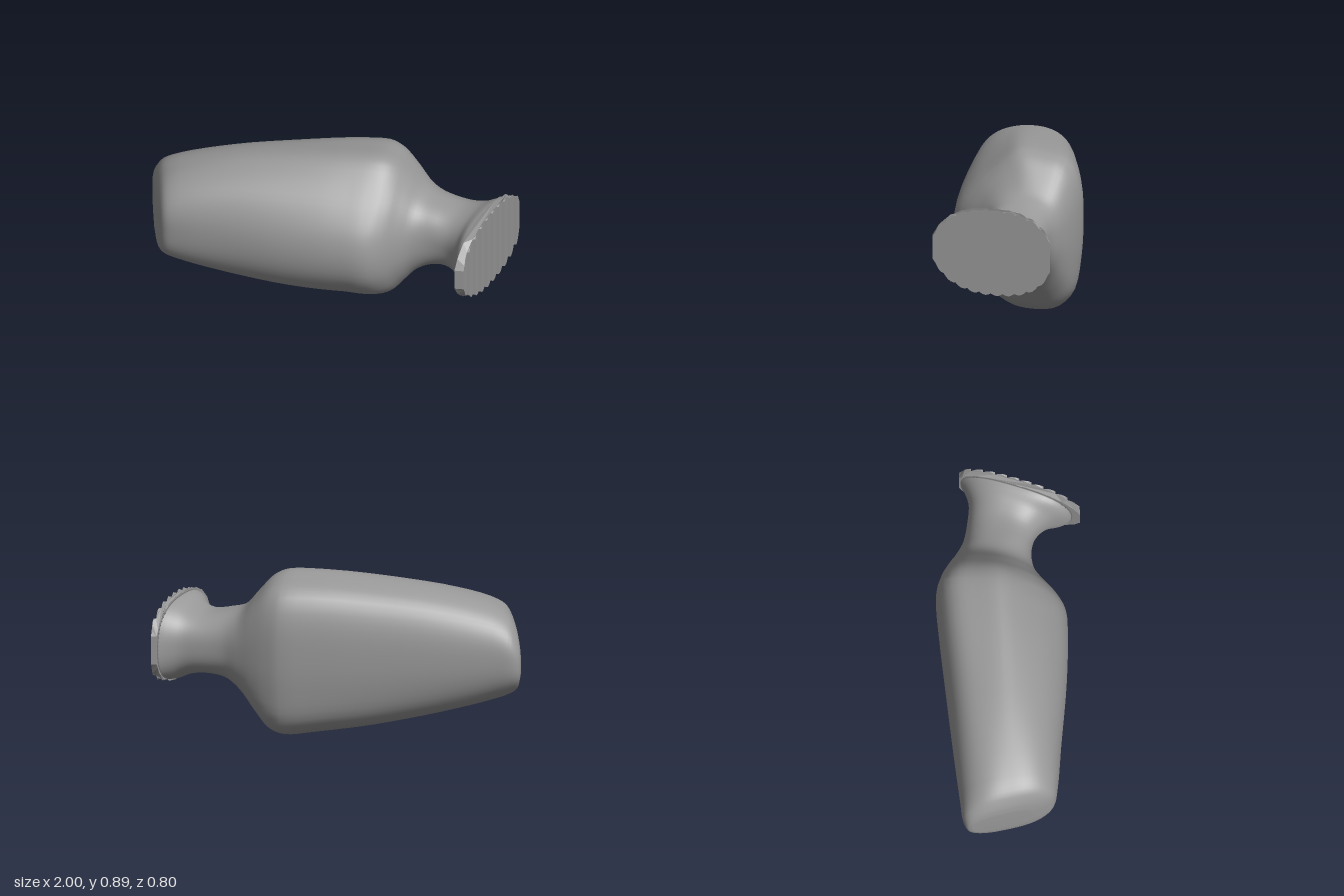
import * as THREE from 'three';

const SIDES = 60, SUB = 4;

// Body cross-section (z, y) in unit form: flat back, sloping front
const PROFILE = [
  [-1, 0], [-.98, .5], [-.89, .76], [-.74, .9], [-.4, .97], [0, 1], [.2, .9], [.46, .72],
  [.69, .54], [.92, .28], [1, 0], [.94, -.3], [.69, -.6], [.4, -.8], [.1, -.95], [-.2, -1],
  [-.57, -.98], [-.77, -.87], [-.89, -.72], [-.97, -.35],
];

// Tilted rings: x at back, x at front, z back, z front, y low, y high, roundness
const STATIONS = [
  [-1, -.94, -.26, .06, .33, .55, 1.3],
  [-.99, -.91, -.29, .14, .265, .625, 1.3],
  [-.95, -.87, -.31, .19, .235, .69, 1.2],
  [-.85, -.79, -.32, .21, .2, .74, 1.05],
  [-.55, -.55, -.345, .24, .125, .815, .75],
  [-.2, -.2, -.37, .285, .055, .865, .4],
  [.1, .1, -.39, .305, .02, .89, .1],
  [.3, .22, -.395, .3, .005, .89, 0],
  [.38, .3, -.37, .26, .03, .86, .1],
  [.46, .38, -.33, .19, .12, .78, .4],
  [.54, .46, -.28, .14, .22, .69, .8],
  [.62, .56, -.235, .13, .28, .655, 1],
  [.75, .65, -.205, .16, .295, .635, 1],
  [.85, .71, -.195, .23, .275, .65, 1],
  [.93, .73, -.215, .32, .245, .68, 1],
  [.97, .75, -.235, .36, .24, .69, 1],
];

const POWER = 2.5;
const lerp = THREE.MathUtils.lerp;

function lofted() {
  const outline = new THREE.CatmullRomCurve3(
    PROFILE.map(([z, y]) => new THREE.Vector3(0, y, z)), true).getSpacedPoints(SIDES).slice(0, SIDES);
  // Rounded neck section sharing each outline point's direction
  const round = outline.map(p => {
    const r = Math.pow(Math.abs(p.z) ** POWER + Math.abs(p.y) ** POWER, -1 / POWER);
    return p.clone().multiplyScalar(r);
  });
  const back = new THREE.CatmullRomCurve3(STATIONS.map(s => new THREE.Vector3(s[0], s[4], s[2])));
  const front = new THREE.CatmullRomCurve3(STATIONS.map(s => new THREE.Vector3(s[1], s[5], s[3])));
  const rings = (STATIONS.length - 1) * SUB;
  const pos = [], index = [];
  for (let i = 0; i <= rings; i++) {
    const b = back.getPoint(i / rings), f = front.getPoint(i / rings);
    const k = Math.min(Math.floor(i / SUB), STATIONS.length - 2);
    const w = lerp(STATIONS[k][6], STATIONS[k + 1][6], i / SUB - k);
    for (let j = 0; j < SIDES; j++) {
      const u = (lerp(outline[j].z, round[j].z, w) + 1) / 2;
      const v = (lerp(outline[j].y, round[j].y, w) + 1) / 2;
      pos.push(lerp(b.x, f.x, u), lerp(b.y, f.y, v), lerp(b.z, f.z, u));
    }
  }
  for (let i = 0; i < rings; i++) {
    for (let j = 0; j < SIDES; j++) {
      const n = (j + 1) % SIDES, a = i * SIDES + j, b = i * SIDES + n;
      index.push(a, b, a + SIDES, b, b + SIDES, a + SIDES);
    }
  }
  // Closed base and mouth
  const first = STATIONS[0], last = STATIONS[STATIONS.length - 1];
  for (const s of [first, last]) pos.push((s[0] + s[1]) / 2, (s[4] + s[5]) / 2, (s[2] + s[3]) / 2);
  const c = (rings + 1) * SIDES;
  for (let j = 0; j < SIDES; j++) {
    const n = (j + 1) % SIDES;
    index.push(c, n, j, c + 1, rings * SIDES + j, rings * SIDES + n);
  }
  const g = new THREE.BufferGeometry();
  g.setAttribute('position', new THREE.Float32BufferAttribute(pos, 3));
  g.setIndex(index);
  g.computeVertexNormals();
  return g;
}

// Slanted mouth plate: a staircase outline extruded upright, then trimmed to a scalloped oval
function ridgedPlate() {
  const steps = 10, parts = 4, z0 = -.24, z1 = .4;
  const stairs = [], rear = [];
  for (let k = 0; k < steps; k++) {
    for (let i = 0; i <= parts; i++) {
      const t = (k + i / parts) / steps, z = lerp(z0, z1, t);
      // Each tread slopes a little before its riser
      stairs.push(new THREE.Vector2(lerp(1, .785, (k + .4 * i / parts) / (steps - .6)), -z));
      if (i < parts || k === steps - 1) rear.push(new THREE.Vector2(lerp(.97, .735, t), -z));
    }
  }
  const g = new THREE.ExtrudeGeometry(new THREE.Shape([...stairs, ...rear.reverse()]),
    { depth: 2, bevelEnabled: false });
  g.translate(0, 0, -1);
  g.rotateX(-Math.PI / 2);
  const p = g.attributes.position;
  for (let i = 0; i < p.count; i++) {
    const t = (p.getZ(i) - z0) / (z1 - z0);
    const u = Math.min(Math.abs(2 * t - 1), .97);
    const power = t > .5 ? 2.1 : POWER;
    const half = .226 * Math.pow(1 - u ** power, 1 / power) + .012 * Math.abs(Math.sin(Math.PI * t * steps));
    p.setY(i, .466 + p.getY(i) * half);
  }
  g.computeVertexNormals();
  return g;
}

export function createModel() {
  const model = new THREE.Group();
  model.name = 'vase';
  const clay = new THREE.MeshStandardMaterial({ color: 0x999999 });
  clay.name = 'grey clay';

  const body = new THREE.Mesh(lofted(), clay);
  body.name = 'bodyAndNeck';
  const mouth = new THREE.Mesh(ridgedPlate(), clay);
  mouth.name = 'ridgedMouth';
  model.add(body, mouth);
  return model;
}
